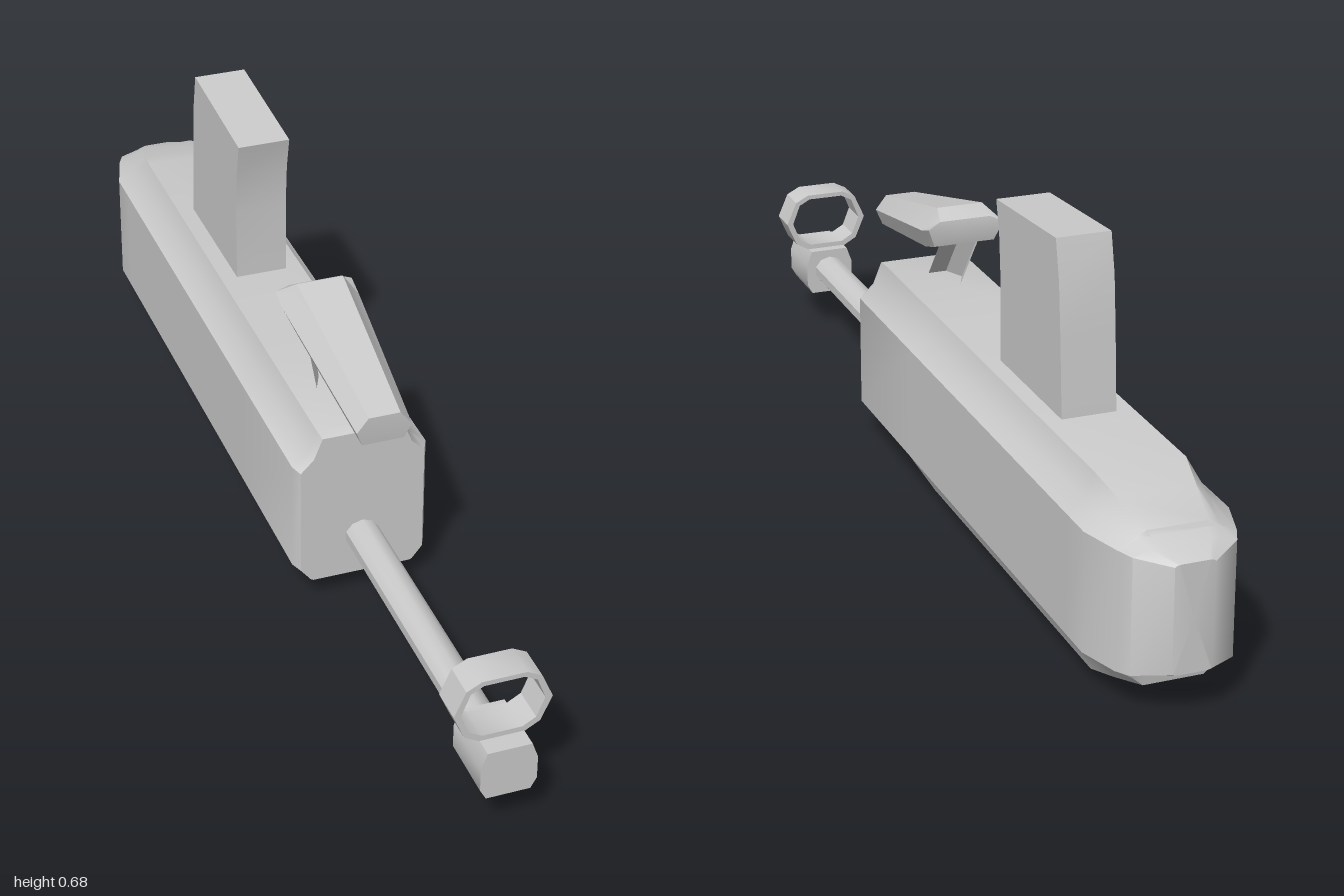
import * as THREE from 'three';
import { toCreasedNormals } from 'three/addons/utils/BufferGeometryUtils.js';

const material = new THREE.MeshStandardMaterial({ color: 0xcccccc });

function part(name, geometry, crease = 0.66) {
  const mesh = new THREE.Mesh(toCreasedNormals(geometry, crease), material);
  mesh.name = name;
  return mesh;
}

// Right half of a section, bottom to top, closed by its mirror image
const mirrored = (half) => [...half, ...half.map(([x, ...rest]) => [-x, ...rest]).reverse()];

// Skin through rings of [x, y, z] running from front to back, with end caps
function loft(rings) {
  const out = [];
  const tri = (a, b, c) => out.push(...a, ...b, ...c);
  const n = rings[0].length;
  const centre = (ring) => [0, 1, 2].map((k) => ring.reduce((s, p) => s + p[k], 0) / n);
  const first = rings[0], last = rings[rings.length - 1];
  const c0 = centre(first), c1 = centre(last);
  for (let j = 0; j < n; j++) {
    const k = (j + 1) % n;
    for (let i = 0; i < rings.length - 1; i++) {
      const a = rings[i], b = rings[i + 1];
      tri(a[j], b[j], b[k]);
      tri(a[j], b[k], a[k]);
    }
    tri(c0, first[j], first[k]);
    tri(c1, last[k], last[j]);
  }
  const g = new THREE.BufferGeometry();
  g.setAttribute('position', new THREE.Float32BufferAttribute(out, 3));
  return g;
}

const toShape = (points) => new THREE.Shape(points.map(([x, y]) => new THREE.Vector2(x, y)));
const extrude = (shape, depth) => new THREE.ExtrudeGeometry(shape, { depth, bevelEnabled: false });

export function createModel() {
  const model = new THREE.Group();
  model.name = 'toyBlaster';

  // Body: z, then keel, lower bevel, side bottom, side top, shoulder, top
  const sections = [
    [0.3, [0.095, 0.045], [0.1, 0.047], [0.12, 0.072], [0.12, 0.29], [0.095, 0.315], [0.078, 0.357]],
    [0.28, [0.095, 0.042], [0.1, 0.046], [0.13, 0.075], [0.13, 0.295], [0.1, 0.32], [0.083, 0.365]],
    [-0.02, [0.083, 0], [0.1, 0.047], [0.13, 0.075], [0.13, 0.295], [0.1, 0.32], [0.083, 0.365]],
    [-0.78, [0.083, 0], [0.1, 0.047], [0.13, 0.075], [0.13, 0.295], [0.1, 0.32], [0.083, 0.365]],
    [-0.85, [0.072, 0.018], [0.092, 0.05], [0.13, 0.075], [0.13, 0.295], [0.095, 0.32], [0.07, 0.345]],
    [-0.93, [0.055, 0.04], [0.075, 0.058], [0.106, 0.076], [0.106, 0.294], [0.075, 0.311], [0.055, 0.321]],
    [-0.935, [0.05, 0.068], [0.073, 0.07], [0.104, 0.077], [0.104, 0.294], [0.072, 0.309], [0.05, 0.312]],
    [-0.96, [0.045, 0.074], [0.06, 0.076], [0.092, 0.08], [0.092, 0.292], [0.06, 0.301], [0.045, 0.304]],
    [-1, [0.025, 0.088], [0.032, 0.089], [0.036, 0.091], [0.036, 0.283], [0.032, 0.286], [0.025, 0.287]],
  ];
  model.add(part('body', loft(sections.map(([z, ...half]) =>
    mirrored(half.map(([x, y]) => [x, y, z]))))));

  // Barrel
  const barrel = new THREE.CylinderGeometry(0.033, 0.033, 0.62, 10);
  barrel.rotateX(Math.PI / 2).scale(1, 0.92, 1).translate(0, 0.13, 0.59);
  model.add(part('barrel', barrel));

  // Muzzle block
  const muzzle = extrude(toShape(mirrored([[0.04, 0.08], [0.051, 0.1], [0.051, 0.145], [0.04, 0.176]])), 0.12);
  model.add(part('muzzle', muzzle.translate(0, 0, 0.88)));

  // Ring sight standing on the muzzle
  const ring = toShape(mirrored([[0.04, 0.175], [0.068, 0.191], [0.088, 0.238], [0.067, 0.286], [0.04, 0.3]]));
  ring.holes.push(toShape(mirrored([[0.036, 0.186], [0.06, 0.2], [0.075, 0.238], [0.059, 0.279], [0.036, 0.291]])));
  model.add(part('ringSight', extrude(ring, 0.065).translate(0, 0, 0.9)));

  // Tapered rear sight and its slanted post
  model.add(part('rearSight', loft([
    mirrored([[0.04, 0.4, 0.4], [0.052, 0.43, 0.405], [0.03, 0.458, 0.405]]),
    mirrored([[0.056, 0.455, 0.1], [0.075, 0.5, 0.07], [0.045, 0.543, 0.065]]),
    mirrored([[0.06, 0.475, 0.04], [0.075, 0.513, 0.03], [0.05, 0.525, 0.035]]),
  ])));
  const post = mirrored([[0.018, 0.19], [0.036, 0.15], [0.018, 0.11]]);
  model.add(part('rearSightPost', loft([[0.48, -0.09], [0.345, 0.015]].map(([y, shift]) =>
    post.map(([x, z]) => [x, y, z + shift]).reverse())), 0.4));

  // Curved magazine
  const magazine = toShape([
    [-0.278, 0.35], [-0.278, 0.51], [-0.27, 0.6], [-0.255, 0.664],
    [-0.53, 0.683], [-0.546, 0.61], [-0.555, 0.51], [-0.566, 0.35],
  ]);
  model.add(part('magazine', extrude(magazine, 0.102).rotateY(-Math.PI / 2).translate(0.051, 0, 0)));

  return model;
}
